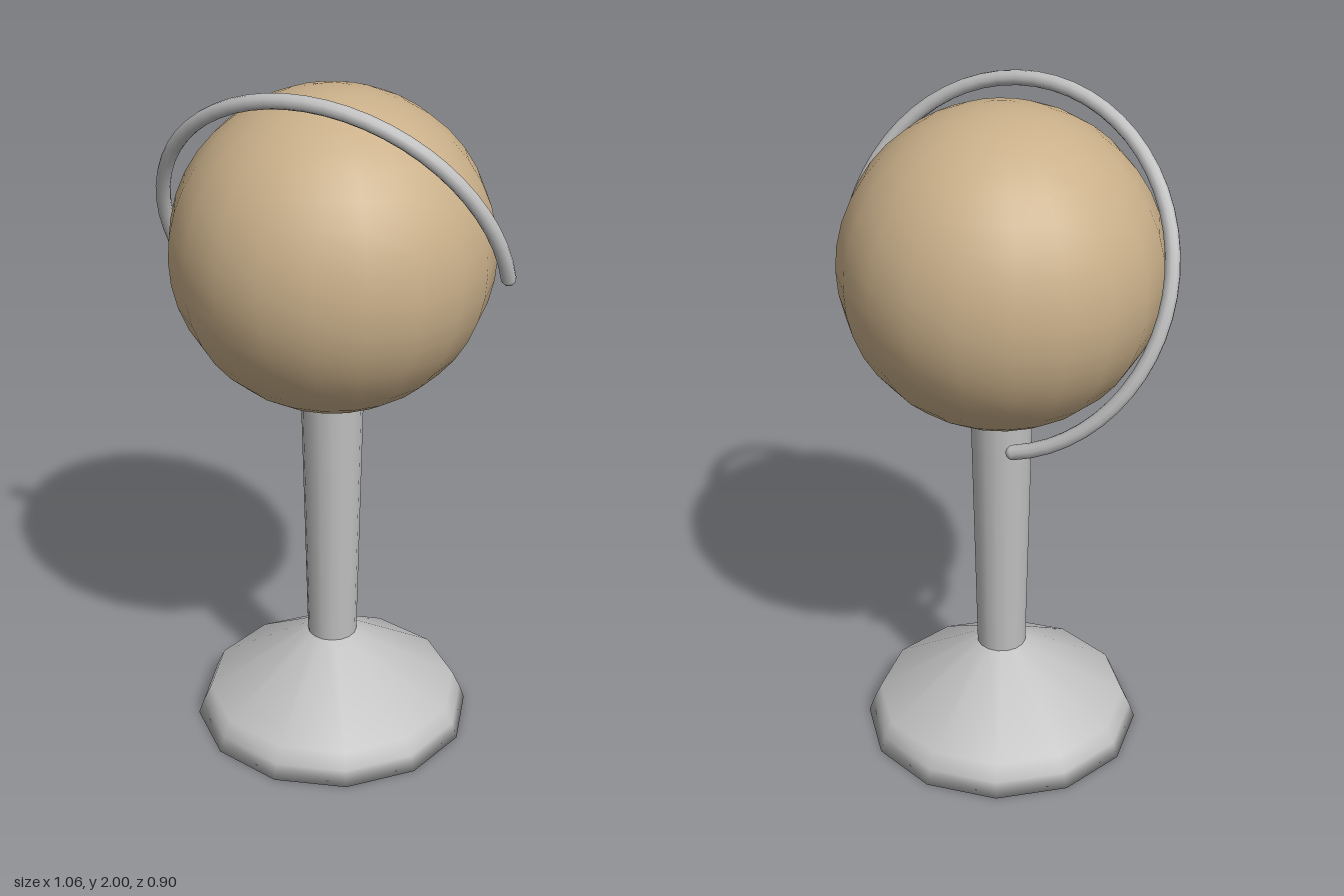
import * as THREE from 'three';

export function createModel() {
  const model = new THREE.Group();
  const silver = new THREE.MeshStandardMaterial({ color: 0xc0c0c0 });
  silver.name = 'silver';
  const tan = new THREE.MeshStandardMaterial({ color: 0xcab08a });
  tan.name = 'tan';

  const CENTER = 1.515, RING = 0.51, TUBE = 0.021, ARC = Math.PI * 1.4;

  function add(parent, name, geometry, material, x = 0, y = 0, z = 0) {
    const mesh = new THREE.Mesh(geometry, material);
    mesh.name = name;
    mesh.position.set(x, y, z);
    parent.add(mesh);
    return mesh;
  }

  // Flared foot, closed underneath with a softly shaded rim
  const profile = [[0, 0], [0.412, 0], [0.396, 0.045], [0.373, 0.095], [0.075, 0.285], [0, 0.285]]
    .map(([r, y]) => new THREE.Vector2(r, y));
  add(model, 'base', new THREE.LatheGeometry(profile, 12), silver);

  // Stem, slightly wider at the top
  add(model, 'stem', new THREE.CylinderGeometry(0.09, 0.073, 0.82, 16), silver, 0, 0.68);

  // Ball
  add(model, 'ball', new THREE.SphereGeometry(0.452, 20, 20), tan, 0, CENTER);

  // Tilted open arm around the ball, with rounded ends
  const arm = new THREE.Group();
  arm.name = 'arm';
  arm.position.y = CENTER;
  arm.rotation.x = 0.405;
  model.add(arm);
  add(arm, 'armRing', new THREE.TorusGeometry(RING, TUBE, 10, 40, ARC), silver);
  for (const [name, a] of [['armFrontTip', 0], ['armBackTip', ARC]]) {
    add(arm, name, new THREE.SphereGeometry(TUBE, 10, 8), silver, RING * Math.cos(a), RING * Math.sin(a));
  }

  return model;
}
